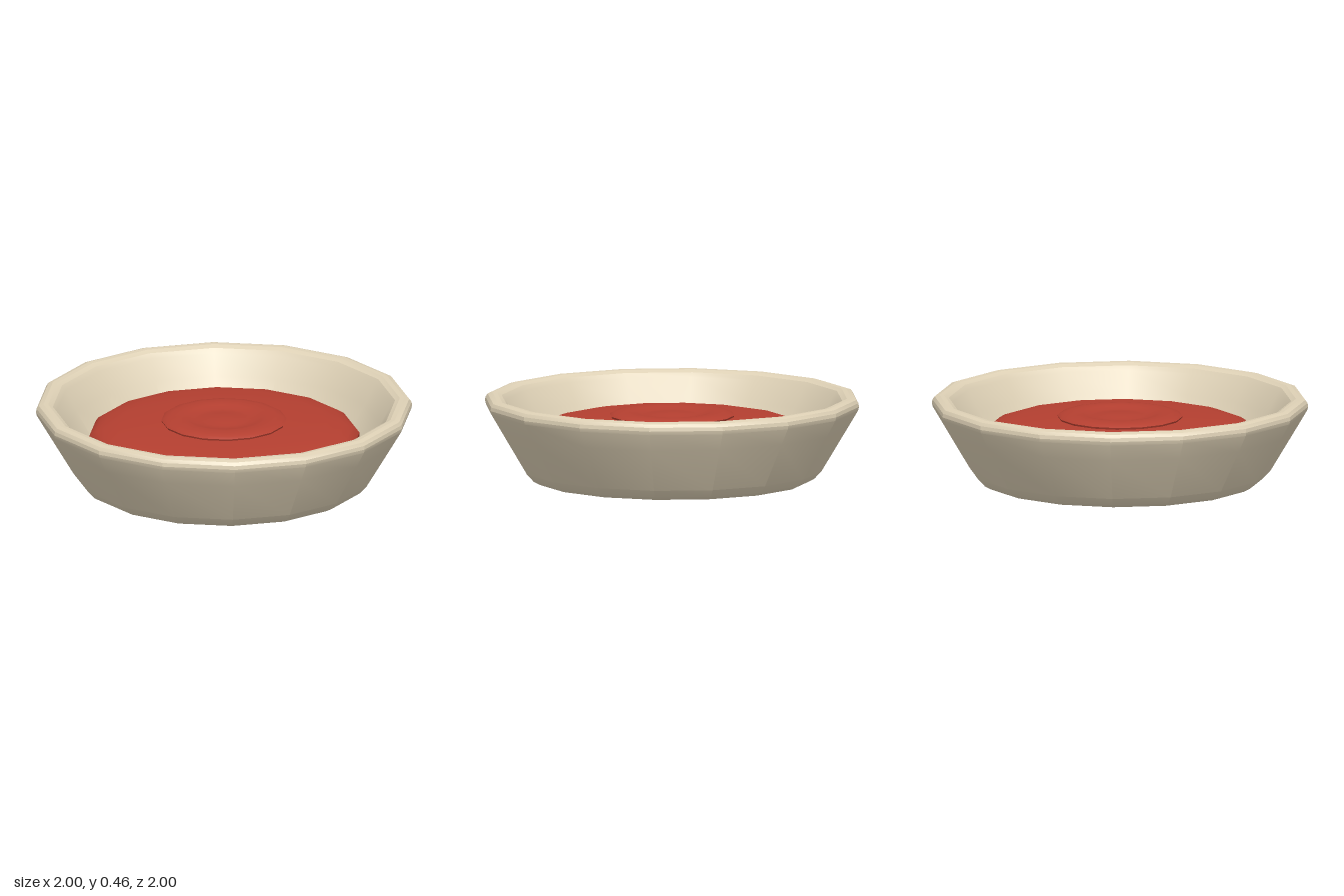
import * as THREE from 'three';
import { toCreasedNormals } from 'three/addons/utils/BufferGeometryUtils.js';

const SIDES = 16;
const cream = new THREE.MeshStandardMaterial({ name: 'cream', color: 0xddd0b5 });
const red = new THREE.MeshStandardMaterial({ name: 'red', color: 0xb43f30 });

// Sixteen-sided turned part; profile radii are measured to the middle of a flat.
function turned(name, profile, material, crease) {
  const k = 1 / Math.cos(Math.PI / SIDES);
  const points = profile.map(([r, y]) => new THREE.Vector2(r * k, y));
  const lathe = new THREE.LatheGeometry(points, SIDES, Math.PI / SIDES);
  const mesh = new THREE.Mesh(toCreasedNormals(lathe, crease), material);
  mesh.name = name;
  return mesh;
}

export function createModel() {
  const model = new THREE.Group();
  model.name = 'filledBowl';

  // Bowl: flat base, flared wall, rolled rim, inner wall and floor
  model.add(turned('bowl', [
    [0, 0], [0.73, 0], [0.762, 0.018], [0.8, 0.06], [0.94, 0.3],
    [0.995, 0.395], [1, 0.415], [0.997, 0.435], [0.985, 0.452], [0.96, 0.46],
    [0.935, 0.458], [0.91, 0.445], [0.89, 0.42], [0.83, 0.31], [0.73, 0.14],
    [0.69, 0.1], [0, 0.1],
  ], cream, 0.37));

  // Filling: low dome with a rounded shoulder
  model.add(turned('filling', [
    [0.72, 0.13], [0.72, 0.265], [0.705, 0.285], [0.68, 0.301], [0.64, 0.315],
    [0.55, 0.334], [0.33, 0.345], [0, 0.345],
  ], red, 0.6));

  // Raised centre: small disc with a shallow ring groove
  model.add(turned('centreDisc', [
    [0.325, 0.335], [0.333, 0.355], [0.315, 0.366], [0.28, 0.372], [0.23, 0.374],
    [0.2, 0.369], [0.16, 0.358], [0.12, 0.358], [0.08, 0.364], [0, 0.367],
  ], red, 0.6));

  return model;
}
